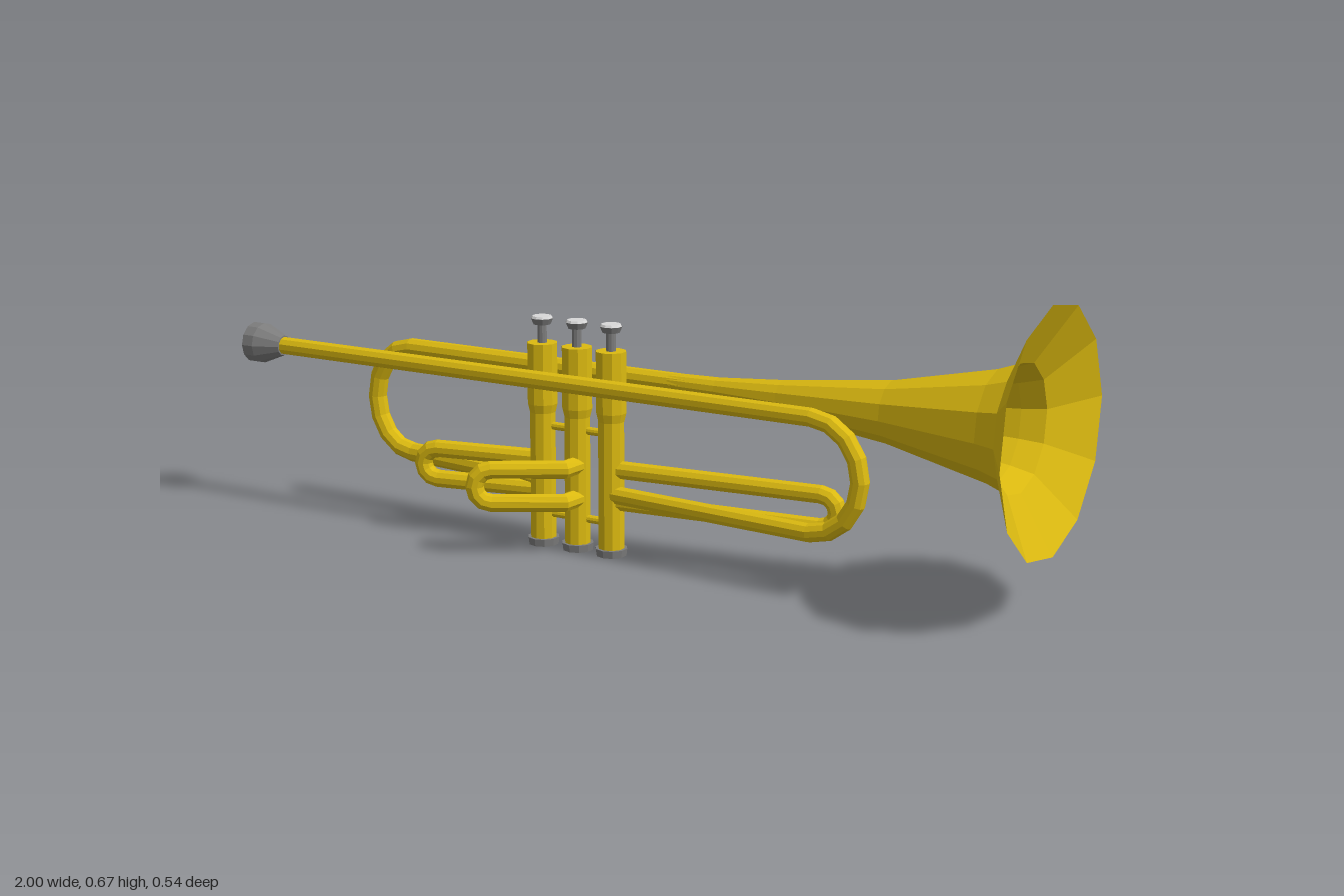
import * as THREE from 'three';

const V = (x, y, z) => new THREE.Vector3(x, y, z);

// A path that places one tube ring exactly on each given point
class Polyline extends THREE.Curve {
  constructor(points) { super(); this.points = points; }
  getPointAt(u, target = new THREE.Vector3()) {
    const p = this.points, t = u * (p.length - 1);
    const i = Math.min(Math.floor(t + 1e-6), p.length - 2);
    return target.lerpVectors(p[i], p[i + 1], t - i);
  }
  getTangentAt(u, target = new THREE.Vector3()) {
    const p = this.points, i = Math.round(u * (p.length - 1));
    target.set(0, 0, 0);
    if (i > 0) target.add(p[i].clone().sub(p[i - 1]).normalize());
    if (i < p.length - 1) target.add(p[i + 1].clone().sub(p[i]).normalize());
    return target.normalize();
  }
}

export function createModel() {
  const group = new THREE.Group();
  const brass = new THREE.MeshStandardMaterial({ color: 0xdcba10, flatShading: true, side: THREE.DoubleSide });
  const steel = new THREE.MeshStandardMaterial({ color: 0x7c7c7c, flatShading: true, side: THREE.DoubleSide });
  const pearl = new THREE.MeshStandardMaterial({ color: 0xd8d8d8, flatShading: true });
  brass.name = 'brass';
  steel.name = 'steel';
  pearl.name = 'pearl';

  const add = (name, geometry, material, parent = group) => {
    const mesh = new THREE.Mesh(geometry, material);
    mesh.name = name;
    parent.add(mesh);
    return mesh;
  };
  const tube = (name, points, r = 0.021) =>
    add(name, new THREE.TubeGeometry(new Polyline(points), points.length - 1, r, 10), brass);

  // Lathe around the x axis from [x, radius] pairs
  const latheX = (name, profile, sides, material, y, z, turn = 0) => {
    const g = new THREE.LatheGeometry(profile.map(([x, r]) => new THREE.Vector2(r, x)), sides);
    g.rotateY(turn).rotateZ(-Math.PI / 2);
    add(name, g, material).position.set(0, y, z);
  };

  // Points of a half-ellipse bow in a vertical plane, from top to bottom
  const bow = (x, yTop, yBottom, z, reach, dirX, dirZ = 0, steps = 8) => {
    const points = [], mid = (yTop + yBottom) / 2, h = (yTop - yBottom) / 2;
    for (let i = 0; i <= steps; i++) {
      const a = Math.PI * i / steps, d = reach * Math.sin(a);
      points.push(V(x + dirX * d, mid + h * Math.cos(a), z + dirZ * d));
    }
    return points;
  };

  // Valve slide: two legs from a valve joined by a bow
  const slide = (name, valveX, valveZ, endX, endZ, yTop, yBottom, elbow = []) => {
    const from = elbow.length ? elbow : [valveX, valveZ];
    const dx = endX - from[0], dz = endZ - from[1], len = Math.hypot(dx, dz);
    const legs = y => elbow.length
      ? [V(valveX, y, valveZ), V(elbow[0], y, elbow[1])] : [V(valveX, y, valveZ)];
    tube(name, [...legs(yTop),
      ...bow(endX, yTop, yBottom, endZ, 0.038, dx / len, dz / len, 6),
      ...legs(yBottom).reverse()]);
  };

  // Flared bell
  const bellY = 0.404;
  latheX('bell', [[0.1, 0.022], [0.22, 0.025], [0.38, 0.038], [0.64, 0.069], [0.88, 0.122],
    [0.93, 0.14], [1, 0.27]], 12, brass, bellY, 0, 0.095);

  // Bell tube with the rear bow returning to the first valve
  tube('bellTube', [V(0.2, bellY, 0), ...bow(-0.61, bellY, 0.15, 0, 0.104, -1), V(-0.21, 0.15, 0.05)], 0.0225);

  // Lead pipe with the main tuning bow returning to the third valve
  tube('leadPipe', [V(-0.95, 0.395, 0.105), ...bow(0.5, 0.395, 0.143, 0.1, 0.118, 1), V(-0.025, 0.143, 0.055)]);

  // Mouthpiece with hollow cup
  latheX('mouthpiece', [[-0.95, 0.008], [-0.965, 0.025], [-1, 0.037], [-1, 0.048], [-0.97, 0.048],
    [-0.91, 0.024], [-0.91, 0.012]], 12, steel, 0.395, 0.105);

  // Valves
  const valveXs = [-0.208, -0.115, -0.025], valveZ = 0.05;
  for (const x of valveXs) {
    const valve = new THREE.Group();
    valve.name = 'valve';
    valve.position.set(x, 0, valveZ);
    group.add(valve);
    const cylinder = (name, r1, r0, y0, y1, material) =>
      add(name, new THREE.CylinderGeometry(r1, r0, y1 - y0, 10), material, valve).position.y = (y0 + y1) / 2;
    cylinder('bottomCap', 0.037, 0.035, 0, 0.017, steel);
    cylinder('casing', 0.03, 0.03, 0.017, 0.31, brass);
    cylinder('casingTaper', 0.035, 0.03, 0.31, 0.33, brass);
    cylinder('upperCasing', 0.035, 0.035, 0.33, 0.47, brass);
    cylinder('stem', 0.011, 0.011, 0.47, 0.512, steel);
    cylinder('button', 0.026, 0.02, 0.512, 0.526, steel);
    cylinder('buttonTop', 0.022, 0.025, 0.526, 0.531, pearl);
  }

  // Braces between the valves
  for (const y of [0.28, 0.075])
    tube('valveBrace', [V(valveXs[0], y, valveZ), V(valveXs[2], y, valveZ)], 0.009);

  // Valve slides
  slide('firstSlide', valveXs[0], valveZ, -0.465, 0.1, 0.2, 0.128);
  slide('secondSlide', -0.108, valveZ, -0.25, 0.197, 0.2, 0.123, [-0.11, 0.112]);
  slide('thirdSlide', valveXs[2], valveZ, 0.475, -0.003, 0.2, 0.126);

  return group;
}
